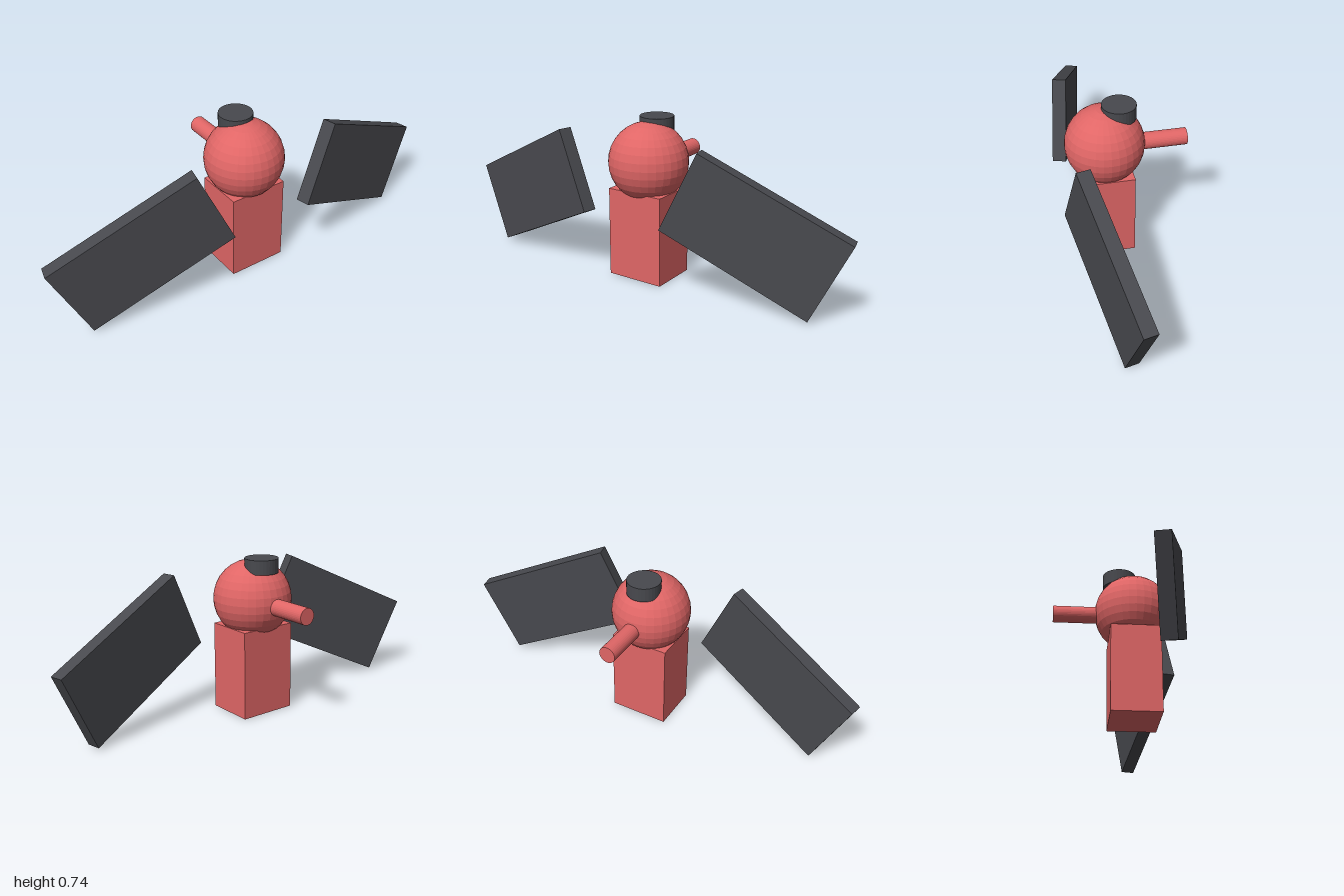
import * as THREE from 'three';

const RED = 0xe06666;
const DARK = 0x48494e;

function part(name, geometry, color, x, y, z, flatShading = true) {
  const mesh = new THREE.Mesh(geometry, new THREE.MeshStandardMaterial({ color, flatShading }));
  mesh.name = name;
  mesh.position.set(x, y, z);
  return mesh;
}

export function createModel() {
  const group = new THREE.Group();
  group.name = 'wingedFigure';

  // Upright block body with a ball head
  group.add(part('body', new THREE.BoxGeometry(0.276, 0.415, 0.23), RED, 0, 0.2075, 0.08));
  group.add(part('head', new THREE.SphereGeometry(0.182, 32, 16), RED, 0, 0.537, 0.08));

  // Round cap set toward the back of the head
  group.add(part('cap', new THREE.CylinderGeometry(0.078, 0.078, 0.066, 32), DARK, 0, 0.702, 0.014));

  // Rod pointing backward out of the head
  const rod = part('rod', new THREE.CylinderGeometry(0.039, 0.039, 0.24, 32), RED, 0, 0.524, -0.177);
  rod.rotation.x = Math.PI / 2;
  group.add(rod);

  // Mirrored pair of detached slab wings, drooping and swept back
  for (const side of [1, -1]) {
    const wing = part(side > 0 ? 'leftWing' : 'rightWing',
      new THREE.BoxGeometry(0.722, 0.391, 0.064), DARK, side * 0.594, 0.34, 0.178);
    wing.rotation.set(0, side * 0.22, side * -0.441, 'YXZ');
    group.add(wing);
  }

  return group;
}
